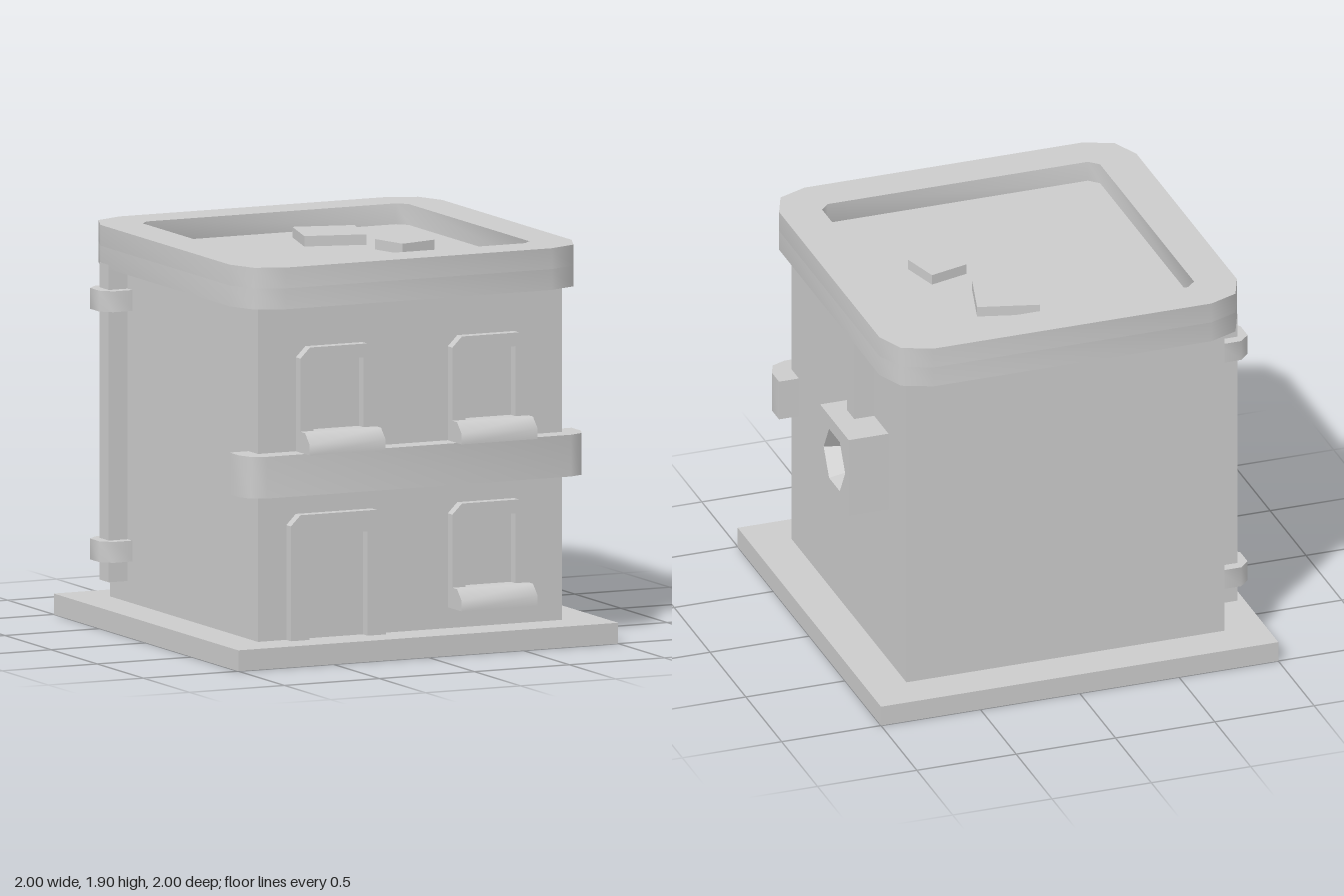
import * as THREE from 'three';
import { toCreasedNormals } from 'three/addons/utils/BufferGeometryUtils.js';

const grey = new THREE.MeshStandardMaterial({ color: 0xcccccc, side: THREE.DoubleSide });
grey.name = 'plain grey';

const CREASE = 0.9; // keeps right angles sharp, smooths 45 degree corners

function polygon(points, Type = THREE.Shape) {
  return new Type(points.map(([x, y]) => new THREE.Vector2(x, y)));
}

function extrude(shape, depth) {
  return new THREE.ExtrudeGeometry(shape, { depth, bevelEnabled: false });
}

// Square outline with each corner cut into a number of steps
function squareOutline(half, radius, steps) {
  const points = [];
  const c = half - radius;
  [[1, 1], [-1, 1], [-1, -1], [1, -1]].forEach(([sx, sy], i) => {
    for (let k = 0; k <= steps; k++) {
      const a = (i + k / steps) * Math.PI / 2;
      points.push([sx * c + radius * Math.cos(a), sy * c + radius * Math.sin(a)]);
    }
  });
  return points;
}

export function createModel() {
  const model = new THREE.Group();
  model.name = 'building';

  function add(name, geometry, parent = model) {
    const mesh = new THREE.Mesh(geometry, grey);
    mesh.name = name;
    parent.add(mesh);
    return mesh;
  }
  // Box given by its minimum and maximum corners
  function box(name, [x0, y0, z0], [x1, y1, z1], parent) {
    const mesh = add(name, new THREE.BoxGeometry(x1 - x0, y1 - y0, z1 - z0), parent);
    mesh.position.set((x0 + x1) / 2, (y0 + y1) / 2, (z0 + z1) / 2);
    return mesh;
  }
  // Plan outline (x, -z) raised from y0 to y1
  function slab(name, shape, y0, y1, parent) {
    const geometry = extrude(shape, y1 - y0).rotateX(-Math.PI / 2).translate(0, y0, 0);
    return add(name, toCreasedNormals(geometry, CREASE), parent);
  }

  // Ground plate and walls
  box('groundPlate', [-1, 0, -1], [1, 0.1, 1]);
  box('walls', [-0.8, 0.1, -0.8], [0.8, 1.72, 0.8]);

  // Roof with a raised rim around a sunken floor
  const outline = squareOutline(0.9, 0.2, 2);
  slab('roofSlab', polygon(outline), 1.7, 1.8);
  const rim = polygon(outline);
  rim.holes.push(polygon(squareOutline(0.7, 0.045, 1), THREE.Path));
  slab('roofRim', rim, 1.8, 1.9);

  // Loose tiles on the roof
  [[0.14, -0.36, 0.3, -15], [0.34, 0.045, 0.2, 15]].forEach(([x, z, size, turn]) => {
    const tile = add('roofTile', new THREE.BoxGeometry(size, 0.05, size));
    tile.position.set(x, 1.825, z);
    tile.rotation.y = THREE.MathUtils.degToRad(turn);
  });

  // Band between the floors, wrapping the front corners
  const d = 0.1 * Math.SQRT1_2;
  slab('floorBand', polygon([
    [-0.9, -0.7], [-0.9, -0.8], [-0.8 - d, -0.8 - d], [-0.8, -0.9],
    [0.8, -0.9], [0.8 + d, -0.8 - d], [0.9, -0.8], [0.9, -0.7],
  ]), 0.8, 1.0);

  // Frame with clipped top corners, open at the bottom
  function frame(name, x0, x1, y0, y1, inset, head, parent) {
    const shape = polygon([
      [x0, y0], [x0 + inset, y0], [x0 + inset, y1 - head], [x1 - inset, y1 - head],
      [x1 - inset, y0], [x1, y0], [x1, y1 - 0.05], [x1 - 0.05, y1],
      [x0 + 0.05, y1], [x0, y1 - 0.05],
    ]);
    add(name, extrude(shape, 0.06).translate(0, 0, 0.79), parent);
  }

  // Door and windows
  frame('doorFrame', -0.65, -0.15, 0.1, 0.7, 0.097, 0.1);
  [[-0.4, 1.0], [0.4, 1.0], [0.4, 0.2]].forEach(([x, y]) => {
    const group = new THREE.Group();
    group.name = 'window';
    model.add(group);
    frame('windowFrame', x - 0.2, x + 0.2, y, y + 0.5, 0.068, 0.065, group);
    // Sill profile (-z, y) swept along x
    const profile = polygon([[-0.79, y], [-0.79, y + 0.1], [-0.9, y + 0.1], [-0.95, y + 0.05], [-0.95, y]]);
    const sill = extrude(profile, 0.4).rotateY(Math.PI / 2).translate(x - 0.2, 0, 0);
    add('windowSill', toCreasedNormals(sill, CREASE), group);
  });

  // Drainpipe on the right wall with two clamps
  box('drainpipe', [-0.9, 0.2, -0.71], [-0.79, 1.72, -0.61]);
  [0.3, 1.5].forEach((y) => slab('pipeClamp', polygon([
    [-0.79, 0.56], [-0.9, 0.56], [-0.95, 0.61], [-0.95, 0.71], [-0.9, 0.76], [-0.79, 0.76],
  ]), y, y + 0.1));

  // Vent box on the left wall with a tapered hexagonal opening
  const vent = new THREE.Group();
  vent.name = 'ventBox';
  model.add(vent);
  box('ventBack', [0.79, 0.9, -0.55], [0.9, 1.3, -0.15], vent);
  const face = polygon([[-0.2, -0.2], [0.2, -0.2], [0.2, 0.2], [-0.2, 0.2]]);
  const hexagon = [];
  for (let i = 0; i < 6; i++) {
    hexagon.push([0.15 * Math.cos(i * Math.PI / 3), 0.15 * Math.sin(i * Math.PI / 3)]);
  }
  face.holes.push(polygon(hexagon, THREE.Path));
  add('ventFace', extrude(face, 0.1).rotateY(Math.PI / 2), vent).position.set(0.9, 1.1, -0.35);
  const funnel = new THREE.CylinderGeometry(0.15, 0.123, 0.1, 6, 1, true).rotateZ(-Math.PI / 2).toNonIndexed();
  funnel.computeVertexNormals();
  add('ventFunnel', funnel, vent).position.set(0.95, 1.1, -0.35);
  box('ventDuct', [0.79, 1.3, -0.35], [0.9, 1.72, -0.25], vent);

  return model;
}
